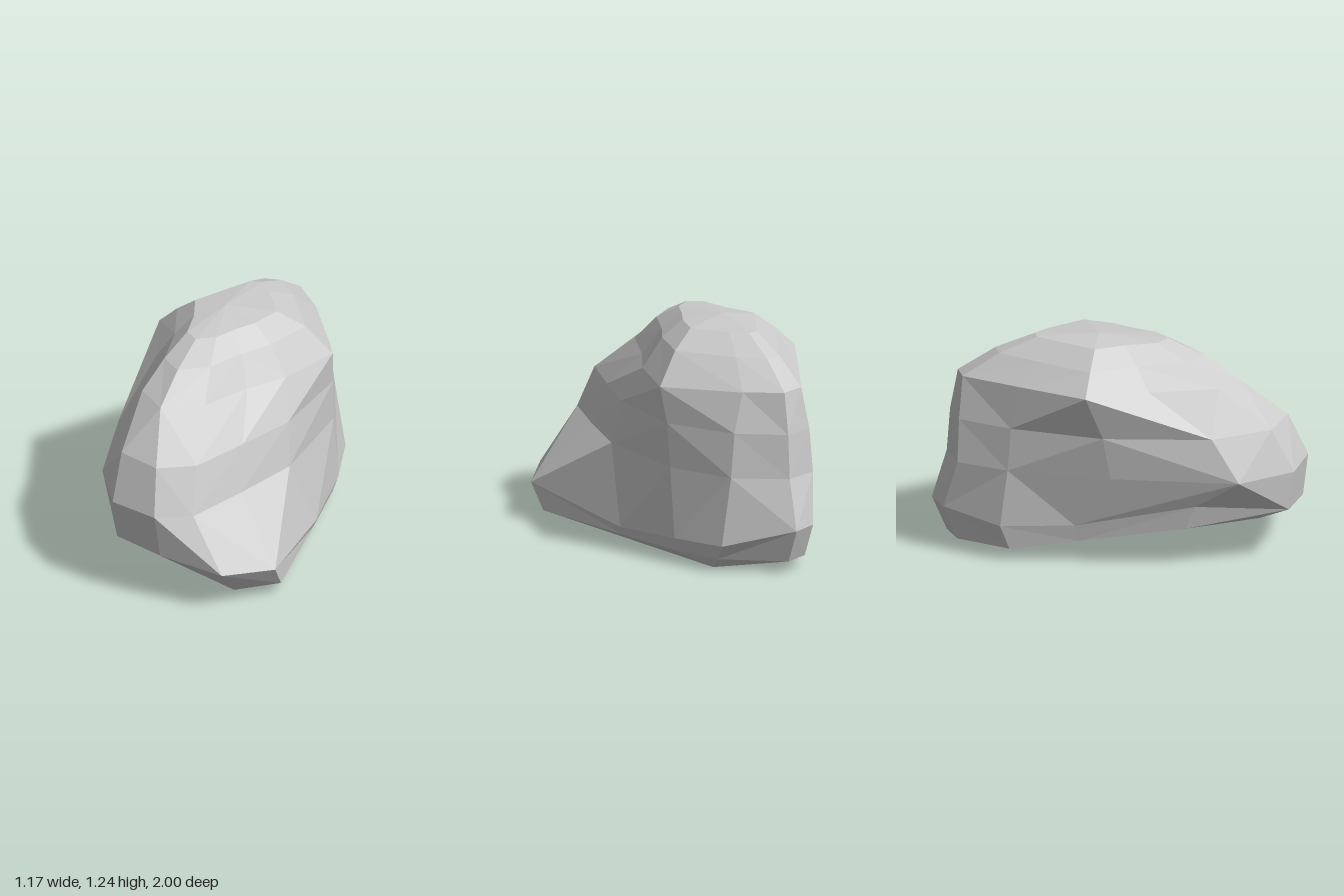
import * as THREE from 'three';

// Horizontal outline at height y: x,z pairs running front, +x side, back, -x side
const outline = (y, xz) => Array.from({ length: xz.length / 2 }, (_, i) => new THREE.Vector3(xz[2 * i], y, xz[2 * i + 1]));

// Copy of a ring scaled in plan about a centre and moved to height y
const inset = (ring, s, x, z, y) => ring.map(p => new THREE.Vector3(x + (p.x - x) * s, y, z + (p.z - z) * s));

function boulderRings() {
  const foot = outline(0, [.05, .97, .4, .92, .585, .67, .42, -.05, .31, -.47, .18, -.77, -.15, -1, -.29, -.92, -.42, -.6, -.41, -.2, -.42, .45, -.24, .93]);
  const footHeights = [.28, .23, .2, .11, .14, .15, .25, .25, .2, .22, .36, .3];
  foot.forEach((p, i) => p.setY(footHeights[i]));
  // the sole is drawn in, most at the front, and tilts up towards the front -x corner
  const sole = foot.map(p => {
    const x = p.x * 0.96;
    const z = p.z * (0.92 - 0.1 * Math.max(0, p.z));
    return new THREE.Vector3(x, 0.065 + 0.33 * Math.max(0, 0.507 * (z + 0.58) - 0.863 * (x + 0.41)), z);
  });
  const belly = outline(0.52, [.03, 1, .2, .88, .29, .53, .37, .15, .31, -.42, .12, -.76, -.15, -.92, -.33, -.84, -.42, -.56, -.48, 0, -.47, .69, -.25, .96]);
  // overhanging lip, higher on the -x side
  const lip = outline(0.975, [-.13, .66, .05, .5, .15, .22, .26, 0, .34, -.36, .03, -.72, -.15, -.86, -.27, -.82, -.42, -.5, -.59, -.12, -.42, .2, -.3, .56]);
  lip.forEach(p => { p.y -= 0.06 * p.x; });
  // the chest bulges between belly and lip
  const chest = belly.map((p, i) => p.clone().lerp(lip[i], 0.3).setY(0.76));
  // the crown rounds off above the lip
  const shoulder = inset(lip, 0.74, -0.15, -0.08, 1.12);
  const crown = inset(lip, 0.47, -0.15, -0.08, 1.21);
  return [sole, foot, belly, chest, lip, shoulder, crown];
}

// Skin the rings, folding each quad along its outer diagonal, and close both ends with a fan
function skin(rings, bottom, top) {
  const tris = [];
  const n = rings[0].length;
  const reach = (p, q) => Math.hypot(p.x + q.x + 0.1, p.z + q.z);
  for (let i = 0; i < n; i++) {
    const j = (i + 1) % n;
    for (let k = 0; k < rings.length - 1; k++) {
      const a = rings[k][i], b = rings[k][j], c = rings[k + 1][i], d = rings[k + 1][j];
      if (reach(a, d) > reach(b, c)) tris.push(a, b, d, a, d, c);
      else tris.push(a, b, c, b, d, c);
    }
    const first = rings[0], last = rings[rings.length - 1];
    tris.push(bottom, first[j], first[i], top, last[i], last[j]);
  }
  const geometry = new THREE.BufferGeometry().setFromPoints(tris);
  geometry.computeVertexNormals();
  return geometry;
}

export function createModel() {
  const group = new THREE.Group();
  group.name = 'rock';
  const geometry = skin(boulderRings(), new THREE.Vector3(0.16, 0, -0.63), new THREE.Vector3(-0.17, 1.235, -0.1));
  const boulder = new THREE.Mesh(geometry, new THREE.MeshStandardMaterial({ color: 0xcccccc, flatShading: true }));
  boulder.name = 'boulder';
  group.add(boulder);
  return group;
}
